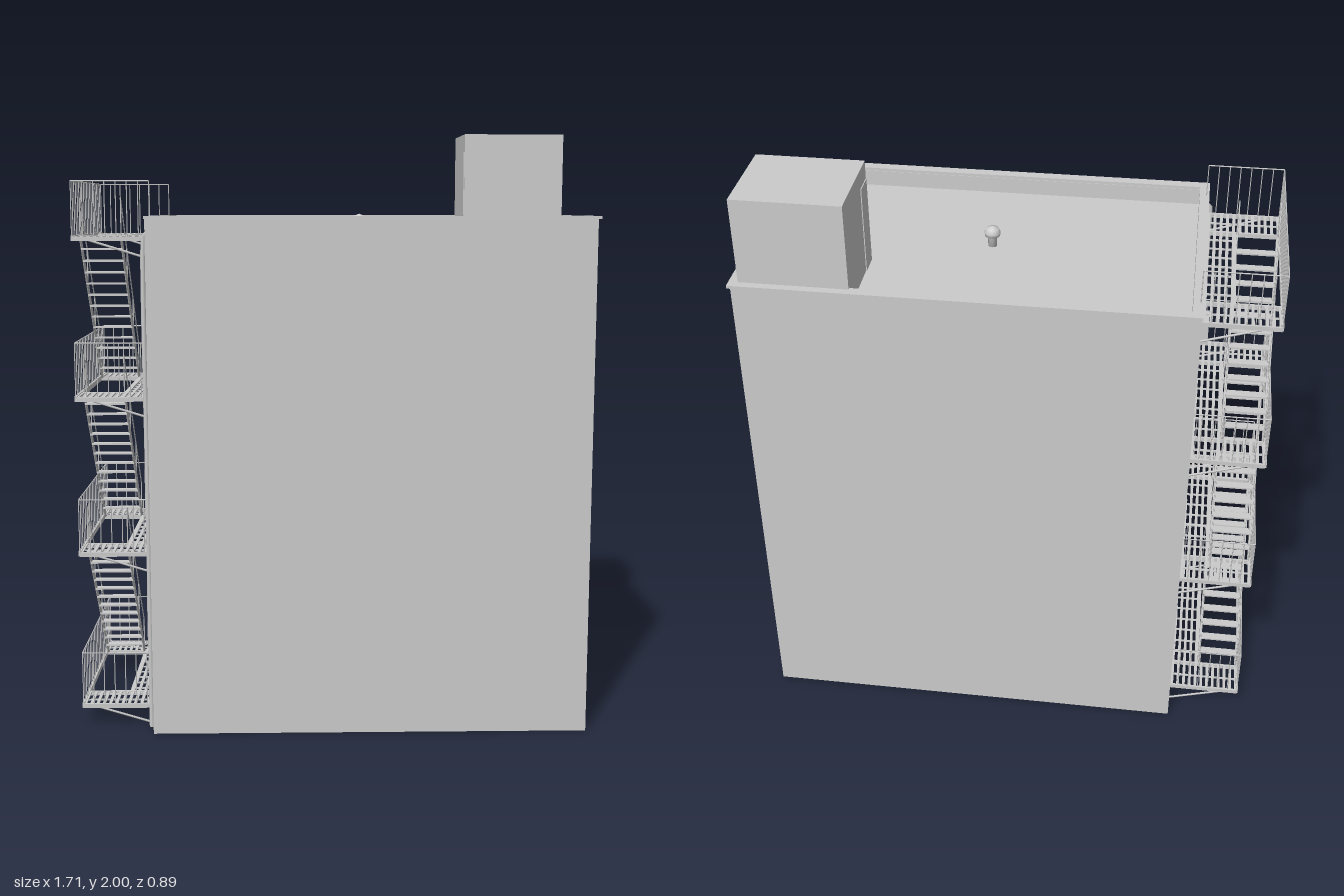
import * as THREE from 'three';
import { mergeGeometries } from 'three/addons/utils/BufferGeometryUtils.js';

const grey = new THREE.MeshStandardMaterial({ color: 0xcccccc, side: THREE.DoubleSide });

// Box between two corners
function box(x0, x1, y0, y1, z0, z1) {
  return new THREE.BoxGeometry(x1 - x0, y1 - y0, z1 - z0)
    .translate((x0 + x1) / 2, (y0 + y1) / 2, (z0 + z1) / 2);
}

// Thin straight bar from a to b
function bar(a, b, r = 0.0022) {
  const p = new THREE.Vector3(...a), d = new THREE.Vector3(...b).sub(p);
  const q = new THREE.Quaternion().setFromUnitVectors(new THREE.Vector3(0, 1, 0), d.clone().normalize());
  return new THREE.CylinderGeometry(r, r, d.length(), 5)
    .applyQuaternion(q).translate(...p.addScaledVector(d, 0.5).toArray());
}

function part(name, ...geometries) {
  const mesh = new THREE.Mesh(mergeGeometries(geometries), grey);
  mesh.name = name;
  return mesh;
}

const WINDOW_Z = [0.165, -0.175], WINDOW_Y = [0.2, 0.72, 1.24];
const WIN_W = 0.17, WIN_H = 0.33;
const LEVELS = [0.07, 0.597, 1.12, 1.645];

// Wall with window openings, drawn in (z, y) and turned to face -x
function windowWall() {
  const s = new THREE.Shape();
  s.moveTo(-0.44, 0).lineTo(0.44, 0).lineTo(0.44, 1.71).lineTo(-0.44, 1.71).closePath();
  for (const z of WINDOW_Z) for (const y of WINDOW_Y) {
    const a = z - WIN_W / 2, b = z + WIN_W / 2;
    const h = new THREE.Path();
    h.moveTo(a, y).lineTo(a, y + WIN_H).lineTo(b, y + WIN_H).lineTo(b, y).closePath();
    s.holes.push(h);
  }
  return new THREE.ExtrudeGeometry(s, { depth: 0.02, bevelEnabled: false })
    .rotateY(-Math.PI / 2).translate(-0.59, 0, 0);
}

// Frame, meeting rail and sill of one sash window
function sashWindow(z, y) {
  const a = z - WIN_W / 2, b = z + WIN_W / 2, t = 0.01, top = y + WIN_H, mid = y + WIN_H / 2;
  return part('sashWindow',
    box(-0.614, -0.588, y, top, a, a + t), box(-0.614, -0.588, y, top, b - t, b),
    box(-0.614, -0.588, top - t, top, a, b), box(-0.606, -0.594, mid - 0.005, mid + 0.005, a, b),
    box(-0.62, -0.588, y - 0.01, y + 0.006, a - 0.01, b + 0.01));
}

// Pleated drape; edge(t) gives its two sides at height t (0 bottom, 1 top)
function drape(y0, y1, edge) {
  const g = new THREE.PlaneGeometry(1, 1, 40, 12), p = g.attributes.position;
  for (let i = 0; i < p.count; i++) {
    const u = p.getX(i) + 0.5, t = p.getY(i) + 0.5, [a, b] = edge(t);
    p.setXYZ(i, -0.575 + 0.006 * Math.sin(u * 38), y0 + t * (y1 - y0), a + u * (b - a));
  }
  g.computeVertexNormals();
  return g;
}

function curtains(z, y, open) {
  const top = y + 0.355, bottom = y - 0.02;
  const gap = t => open ? 0.004 + 0.05 * Math.min(1, (1 - t) * 1.8) : 0.001;
  const g = new THREE.Group();
  g.name = 'curtains';
  g.add(part('drapes', ...[1, -1].map(s => drape(bottom, top, t => [z + s * gap(t), z + s * 0.105]))));
  g.add(part('curtainRod', bar([-0.575, top, z - 0.115], [-0.575, top, z + 0.115], 0.003),
    ...[1, -1].map(s => new THREE.SphereGeometry(0.006, 8, 6).translate(-0.575, top, z + s * 0.115)),
    ...[1, -1].map(s => bar([-0.575, top, z + s * 0.1], [-0.592, top, z + s * 0.1]))));
  return g;
}

// One landing of the fire escape: grating, railing and brackets
function landing(y) {
  const g = new THREE.Group(), slats = [], rails = [], brackets = [];
  g.name = 'fireEscapeLanding';
  const X0 = -0.855, Z0 = -0.36, Z1 = 0.35;
  for (let i = 0; i < 12; i++) {
    const x = -0.85 + i * 0.0212;
    // Outer slats leave an opening for the stair
    const runs = x < -0.705 ? [[Z0, -0.24], [0.22, Z1]] : [[Z0, Z1]];
    for (const [a, b] of runs) slats.push(box(x - 0.005, x + 0.005, y, y + 0.005, a, b));
  }
  for (let i = 0; i <= 12; i++) {
    const z = Z0 + (i / 12) * (Z1 - Z0), x = z > -0.24 && z < 0.22 ? -0.71 : X0;
    slats.push(box(x, -0.61, y - 0.005, y, z - 0.003, z + 0.003));
  }
  slats.push(box(X0 - 0.004, X0 + 0.004, y - 0.01, y + 0.008, Z0, Z1));
  slats.push(box(-0.712, -0.706, y - 0.01, y + 0.005, -0.24, 0.22));
  for (const z of [Z0, -0.24, 0.22, Z1]) slats.push(box(X0, -0.61, y - 0.01, y + 0.005, z - 0.004, z + 0.004));

  const top = y + 0.183;
  for (let i = 0; i <= 20; i++) {
    const z = Z0 + (i / 20) * (Z1 - Z0);
    rails.push(bar([X0, y, z], [X0, top, z], 0.0018));
  }
  rails.push(bar([X0, top, Z0], [X0, top, Z1]));
  for (const z of [Z0, Z1]) {
    for (let i = 1; i <= 7; i++) rails.push(bar([X0 + i * 0.036, y, z], [X0 + i * 0.036, top, z], 0.0018));
    rails.push(bar([X0, top, z], [-0.603, top, z]));
    brackets.push(bar([-0.81, y - 0.004, z], [-0.612, y - 0.065, z], 0.004));
  }
  g.add(part('grating', ...slats), part('railing', ...rails), part('brackets', ...brackets));
  return g;
}

// Stair climbing towards +z from one landing to the next
function stair(y0, y1) {
  const parts = [], n = 13, za = -0.24, zb = 0.21;
  for (let i = 1; i < n; i++) {
    const t = i / n, y = y0 + t * (y1 - y0), z = za + t * (zb - za);
    parts.push(box(-0.85, -0.712, y - 0.003, y + 0.003, z - 0.017, z + 0.013));
  }
  for (const x of [-0.848, -0.712]) {
    parts.push(bar([x, y0, za], [x, y1, zb], 0.005));
    parts.push(bar([x, y0 + 0.13, za], [x, y1 + 0.13, zb]));
    for (const t of [0, 0.33, 0.67, 1]) {
      const y = y0 + t * (y1 - y0), z = za + t * (zb - za);
      parts.push(bar([x, y, z], [x, y + 0.13, z]));
    }
  }
  return part('fireEscapeStair', ...parts);
}

export function createModel() {
  const model = new THREE.Group();
  model.name = 'apartmentBuilding';

  // Shell, open at the +x end
  model.add(part('sideWalls', box(-0.59, 0.84, 0, 1.71, 0.43, 0.44), box(-0.59, 0.84, 0, 1.71, -0.44, -0.43)));
  const wall = new THREE.Mesh(windowWall(), grey);
  wall.name = 'windowWall';
  model.add(wall);
  model.add(part('floors', box(-0.59, 0.84, 0, 0.08, -0.43, 0.43), box(-0.59, 0.84, 0.59, 0.61, -0.43, 0.43)));
  model.add(part('partition', new THREE.PlaneGeometry(0.86, 0.46).rotateY(Math.PI / 2).translate(-0.56, 0.84, 0),
    box(-0.59, -0.56, 1.06, 1.07, -0.43, 0.43)));
  model.children.at(-1).material = new THREE.MeshStandardMaterial({ color: 0xcccccc });

  // Roof, parapet and coping
  model.add(part('roof', box(-0.59, 0.84, 1.63, 1.65, -0.43, 0.43)));
  model.add(part('parapet', box(-0.6, 0.83, 1.65, 1.705, 0.41, 0.435), box(-0.6, 0.83, 1.65, 1.705, -0.435, -0.41),
    box(-0.6, -0.58, 1.65, 1.705, -0.41, 0.41), box(0.82, 0.84, 1.65, 1.705, -0.43, 0.43)));
  model.add(part('coping', box(-0.613, 0.85, 1.706, 1.716, 0.41, 0.446), box(-0.613, 0.85, 1.706, 1.716, -0.446, -0.41),
    box(-0.613, -0.58, 1.706, 1.716, -0.41, 0.41), box(0.82, 0.85, 1.706, 1.716, -0.41, 0.41)));

  // Roof stair house and door
  model.add(part('stairHouse', box(0.47, 0.82, 1.65, 2, -0.42, -0.11)));
  model.add(part('roofDoor', box(0.467, 0.47, 1.65, 1.94, -0.19, -0.115)));

  // Roof vent
  const ventProfile = [[0, 0], [0.015, 0], [0.015, 0.032], [0.025, 0.038], [0.027, 0.05], [0.02, 0.064], [0, 0.072]];
  const vent = new THREE.Mesh(new THREE.LatheGeometry(ventProfile.map(p => new THREE.Vector2(...p)), 16), grey);
  vent.name = 'roofVent';
  vent.position.set(0.09, 1.65, 0.03);
  model.add(vent);

  // Windows and curtains
  for (const z of WINDOW_Z) WINDOW_Y.forEach((y, i) => {
    model.add(sashWindow(z, y));
    if (i !== 1) model.add(curtains(z, y, i === 2 && z > 0));
  });
  model.add(part('airConditioner', box(-0.645, -0.59, 1.265, 1.34, 0.115, 0.215)));

  // Downpipe
  const path = new THREE.CatmullRomCurve3([[-0.6, 1.67, 0.395], [-0.616, 1.66, 0.395], [-0.62, 1.63, 0.395],
    [-0.62, 0.8, 0.395], [-0.62, 0.01, 0.395]].map(p => new THREE.Vector3(...p)));
  model.add(part('downpipe', new THREE.TubeGeometry(path, 60, 0.008, 8)));

  // Fire escape
  LEVELS.forEach((y, i) => {
    model.add(landing(y));
    if (i) model.add(stair(LEVELS[i - 1], y));
  });
  return model;
}
